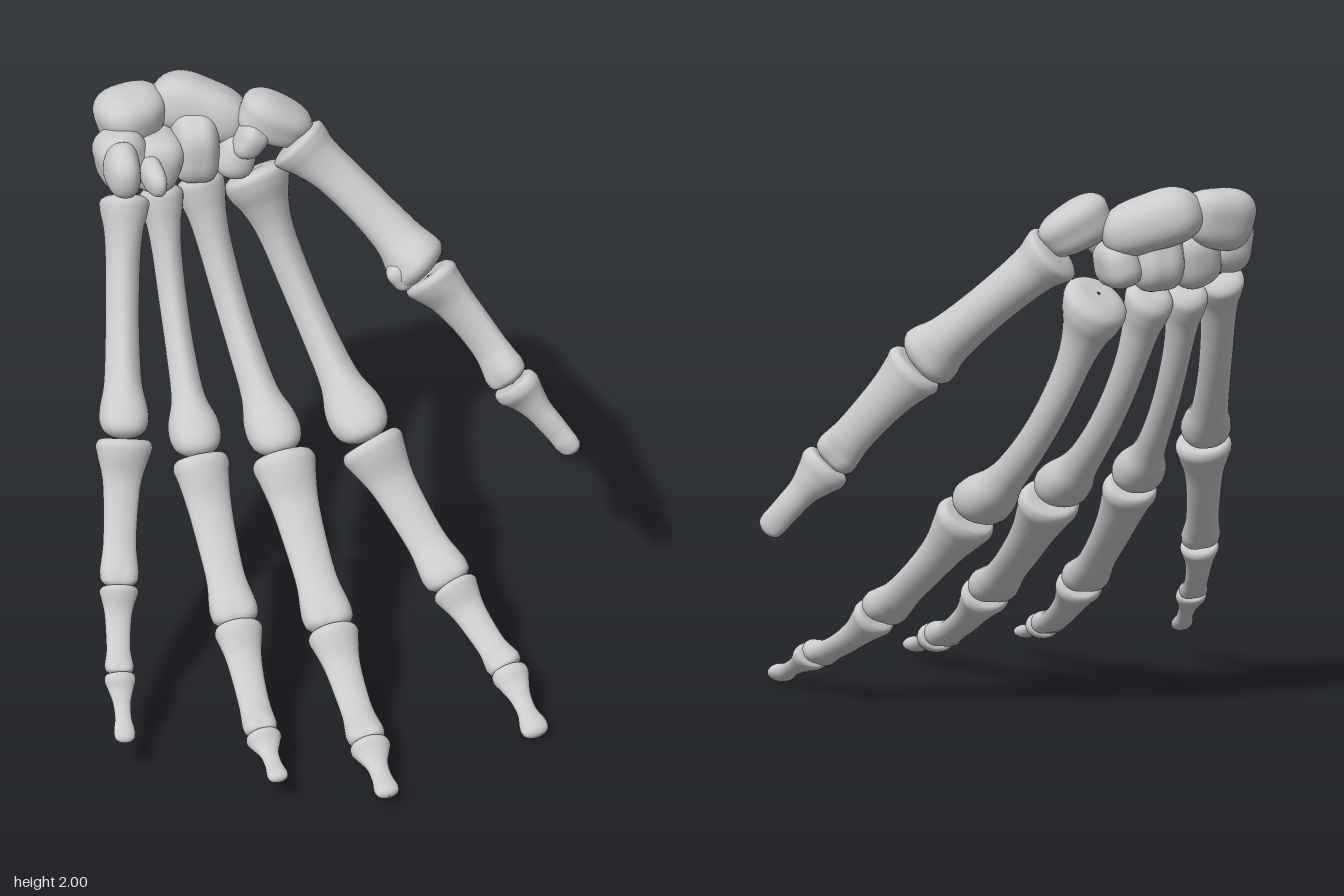
import * as THREE from 'three';
import { mergeVertices } from 'three/addons/utils/BufferGeometryUtils.js';

const material = new THREE.MeshStandardMaterial({ color: 0xcccccc });
const V = (p) => new THREE.Vector3(...p);
const smooth = (a, b, t) => THREE.MathUtils.smoothstep(t, a, b);

// Profiles: [position along bone, base / shaft / head weights, depth-to-width ratio]
const PROFILES = {
  metacarpal: [
    [0, 0.05, 0, 0, 1], [0.002, 0.7, 0, 0, 1], [0.025, 0.98, 0, 0, 1], [0.07, 0.95, 0, 0, 1],
    [0.13, 0.5, 0.45, 0, 1], [0.22, 0.1, 0.9, 0, 1], [0.4, 0, 0.98, 0, 1], [0.6, 0, 1, 0, 1], [0.78, 0, 0.85, 0.2, 1],
    [0.87, 0, 0, 0.98, 0.95], [0.93, 0, 0, 1, 0.98], [0.97, 0, 0, 0.82, 1], [0.993, 0, 0, 0.45, 1], [1, 0, 0, 0.03, 1],
  ],
  phalanx: [
    [0.02, 0.04, 0, 0, 0.8], [0.005, 0.6, 0, 0, 0.8], [0.01, 0.88, 0, 0, 0.8], [0.05, 1, 0, 0, 0.8],
    [0.12, 0.92, 0, 0, 0.8], [0.28, 0.15, 0.9, 0, 0.75], [0.5, 0, 1, 0, 0.72], [0.72, 0, 0.98, 0, 0.72],
    [0.84, 0, 0.3, 0.7, 0.74], [0.91, 0, 0, 1, 0.8], [0.96, 0, 0, 0.92, 0.8], [0.992, 0, 0, 0.6, 0.8], [1, 0, 0, 0.03, 0.8],
  ],
  tip: [
    [0.02, 0.04, 0, 0, 0.75], [0.005, 0.6, 0, 0, 0.75], [0.02, 0.92, 0, 0, 0.75], [0.1, 1, 0, 0, 0.75],
    [0.22, 0.75, 0.15, 0, 0.75], [0.42, 0, 1.08, 0, 0.8], [0.62, 0, 1, 0, 0.78], [0.78, 0, 0.2, 0.8, 0.7],
    [0.88, 0, 0, 1, 0.62], [0.95, 0, 0, 0.85, 0.6], [0.99, 0, 0, 0.45, 0.6], [1, 0, 0, 0.03, 0.6],
  ],
};

// Long bone lofted from flattened rings along a slightly bowed axis
function bone(name, kind, start, end, [rBase, rShaft, rHead], dorsal, bow) {
  const axis = end.clone().sub(start);
  const length = axis.length();
  axis.normalize();
  const n = dorsal.clone().addScaledVector(axis, -dorsal.dot(axis)).normalize();
  const u = n.clone().cross(axis);
  const spline = new THREE.CatmullRomCurve3(
    PROFILES[kind].map(([t, b, s, h, k]) => new THREE.Vector3(t * length, b * rBase + s * rShaft + h * rHead, k)),
    false, 'centripetal');
  const rows = 60, sides = 32, pos = [], index = [];
  for (let i = 0; i <= rows; i++) {
    const p = spline.getPoint(i / rows);
    const t = p.x / length;
    const head = kind === 'tip' ? 0 : smooth(0.78, 0.92, t);
    const shaft = smooth(0.1, 0.3, t) * (1 - smooth(0.7, 0.88, t));
    const lift = bow * Math.sin(Math.PI * THREE.MathUtils.clamp(t, 0, 1));
    for (let j = 0; j < sides; j++) {
      const a = (j / sides) * Math.PI * 2;
      const c = Math.cos(a), s = Math.sin(a);
      // groove between the condyles, flatter palm side along the shaft
      const groove = head * (kind === 'phalanx' ? 0.2 : 0.09) * Math.pow(Math.abs(s), 6);
      const flat = s < 0 ? 1 - (kind === 'metacarpal' ? 0.08 : 0.22) * shaft : 1 + 0.06 * shaft;
      const knuckle = s < 0 ? 1 + 0.08 * head : 1;
      // metacarpal shafts narrow to a ridge on the palm side
      const ridge = kind === 'metacarpal' ? 1 - 0.25 * shaft * Math.max(0, -s) : 1;
      const v = start.clone()
        .addScaledVector(axis, p.x)
        .addScaledVector(u, c * p.y * (1 - groove) * ridge)
        .addScaledVector(n, s * p.y * p.z * flat * knuckle * (1 - groove) + lift);
      pos.push(v.x, v.y, v.z);
      if (i < rows) {
        const A = i * sides + j, B = i * sides + ((j + 1) % sides);
        index.push(A, B, A + sides, B, B + sides, A + sides);
      }
    }
  }
  const g = new THREE.BufferGeometry();
  g.setAttribute('position', new THREE.Float32BufferAttribute(pos, 3));
  g.setIndex(index);
  g.computeVertexNormals();
  const mesh = new THREE.Mesh(g, material);
  mesh.name = name;
  return mesh;
}

// Small bone: rounded, slightly boxy pebble with gentle bumps
function pebble(name, centre, radii, rotation, seed) {
  let g = new THREE.SphereGeometry(1, 36, 24);
  g.deleteAttribute('uv');
  g.deleteAttribute('normal');
  g = mergeVertices(g, 1e-4);
  const P = g.attributes.position, v = new THREE.Vector3(), k = 2.7;
  for (let i = 0; i < P.count; i++) {
    v.fromBufferAttribute(P, i);
    const norm = Math.pow(Math.abs(v.x) ** k + Math.abs(v.y) ** k + Math.abs(v.z) ** k, 1 / k);
    const bump = 1 + 0.06 * Math.sin(2.6 * v.x + seed) + 0.05 * Math.sin(3.1 * v.y + 2 * seed) + 0.05 * Math.sin(2.8 * v.z + 3 * seed);
    v.multiplyScalar(bump / norm);
    P.setXYZ(i, v.x * radii[0], v.y * radii[1], v.z * radii[2]);
  }
  g.computeVertexNormals();
  const mesh = new THREE.Mesh(g, material);
  mesh.name = name;
  mesh.position.set(...centre);
  mesh.rotation.set(...rotation);
  return mesh;
}

const BACK = [0, -0.6, -0.8];
// Each digit: joints from wrist to tip, [base, shaft, head] radii per bone, back direction, bow of the metacarpal
const DIGITS = [
  { name: 'littleFinger', back: BACK, bow: 0.045,
    joints: [[-0.625, 1.64, -0.665], [-0.73, 0.945, -0.16], [-0.81, 0.51, 0.13], [-0.855, 0.29, 0.355], [-0.875, 0.125, 0.555]],
    radii: [[0.09, 0.062, 0.088], [0.102, 0.062, 0.07], [0.07, 0.045, 0.052], [0.056, 0.03, 0.038]] },
  { name: 'ringFinger', back: BACK, bow: 0.075,
    joints: [[-0.48, 1.61, -0.74], [-0.45, 0.805, -0.2], [-0.405, 0.37, 0.25], [-0.395, 0.15, 0.635], [-0.375, 0.085, 0.85]],
    radii: [[0.08, 0.052, 0.092], [0.102, 0.073, 0.087], [0.087, 0.058, 0.062], [0.064, 0.031, 0.037]] },
  { name: 'middleFinger', back: BACK, bow: 0.1,
    joints: [[-0.335, 1.615, -0.775], [-0.15, 0.775, -0.2], [-0.075, 0.345, 0.31], [-0.025, 0.115, 0.715], [0, 0.04, 0.96]],
    radii: [[0.09, 0.06, 0.097], [0.115, 0.078, 0.092], [0.092, 0.06, 0.07], [0.073, 0.037, 0.044]] },
  { name: 'indexFinger', back: [0.05, -0.6, -0.8], bow: 0.115,
    joints: [[-0.135, 1.615, -0.78], [0.18, 0.745, -0.27], [0.41, 0.33, 0.09], [0.55, 0.14, 0.385], [0.605, 0.02, 0.655]],
    radii: [[0.122, 0.063, 0.105], [0.118, 0.075, 0.088], [0.085, 0.055, 0.066], [0.067, 0.036, 0.05]] },
  { name: 'thumb', back: [0.65, 0, -0.76], bow: 0.025,
    joints: [[0, 1.765, -0.71], [0.42, 1.325, -0.42], [0.69, 0.955, -0.225], [0.9, 0.69, -0.12]],
    radii: [[0.115, 0.085, 0.115], [0.112, 0.077, 0.084], [0.095, 0.052, 0.05]] },
];

function digit({ name, joints, radii, back, bow }) {
  const group = new THREE.Group();
  group.name = name;
  const pts = joints.map(V);
  const last = radii.length - 1;
  radii.forEach((r, i) => {
    const a = pts[i].clone(), b = pts[i + 1].clone();
    const dir = b.clone().sub(a).normalize();
    if (i > 0) a.addScaledVector(dir, 0.002);
    if (i < last) b.addScaledVector(dir, 0.004);
    const kind = i === 0 ? 'metacarpal' : i === last ? 'tip' : 'phalanx';
    const label = i === 0 ? 'PalmBone' : i === last ? 'TipBone' : 'Bone' + i;
    group.add(bone(name + label, kind, a, b, r, V(back), i === 0 ? bow : i === last ? 0.004 : 0.025));
  });
  return group;
}

export function createModel() {
  const hand = new THREE.Group();
  hand.name = 'skeletonHand';
  DIGITS.forEach((d) => hand.add(digit(d)));
  hand.add(pebble('thumbSesamoid', [0.325, 1.34, -0.41], [0.045, 0.05, 0.045], [0, 0, 0.7], 2));

  // Wrist bones
  const wrist = new THREE.Group();
  wrist.name = 'wrist';
  wrist.add(
    pebble('pisiform', [-0.65, 1.8, -0.58], [0.063, 0.095, 0.085], [0.2, 0, 0], 1),
    pebble('triquetrum', [-0.625, 1.77, -0.73], [0.105, 0.105, 0.09], [0, 0.3, 0.3], 2),
    pebble('lunate', [-0.56, 1.87, -0.82], [0.125, 0.105, 0.105], [0, 0.25, 0.15], 3),
    pebble('scaphoid', [-0.31, 1.87, -0.84], [0.17, 0.112, 0.105], [0, -0.35, -0.32], 4.2),
    pebble('capitate', [-0.35, 1.755, -0.77], [0.085, 0.14, 0.13], [0.15, 0, 0], 5),
    pebble('hamate', [-0.505, 1.725, -0.755], [0.098, 0.115, 0.105], [0, 0, -0.2], 6),
    pebble('hamateHook', [-0.53, 1.73, -0.63], [0.038, 0.06, 0.085], [0.15, 0.15, 0], 7),
    pebble('trapezoid', [-0.205, 1.72, -0.77], [0.08, 0.085, 0.105], [0, 0, -0.3], 8),
    pebble('trapezium', [-0.065, 1.85, -0.72], [0.135, 0.08, 0.092], [0, -0.1, -0.5], 9),
    pebble('trapeziumTubercle', [-0.16, 1.8, -0.68], [0.055, 0.07, 0.06], [0, 0, -0.5], 3),
  );
  hand.add(wrist);
  return hand;
}
